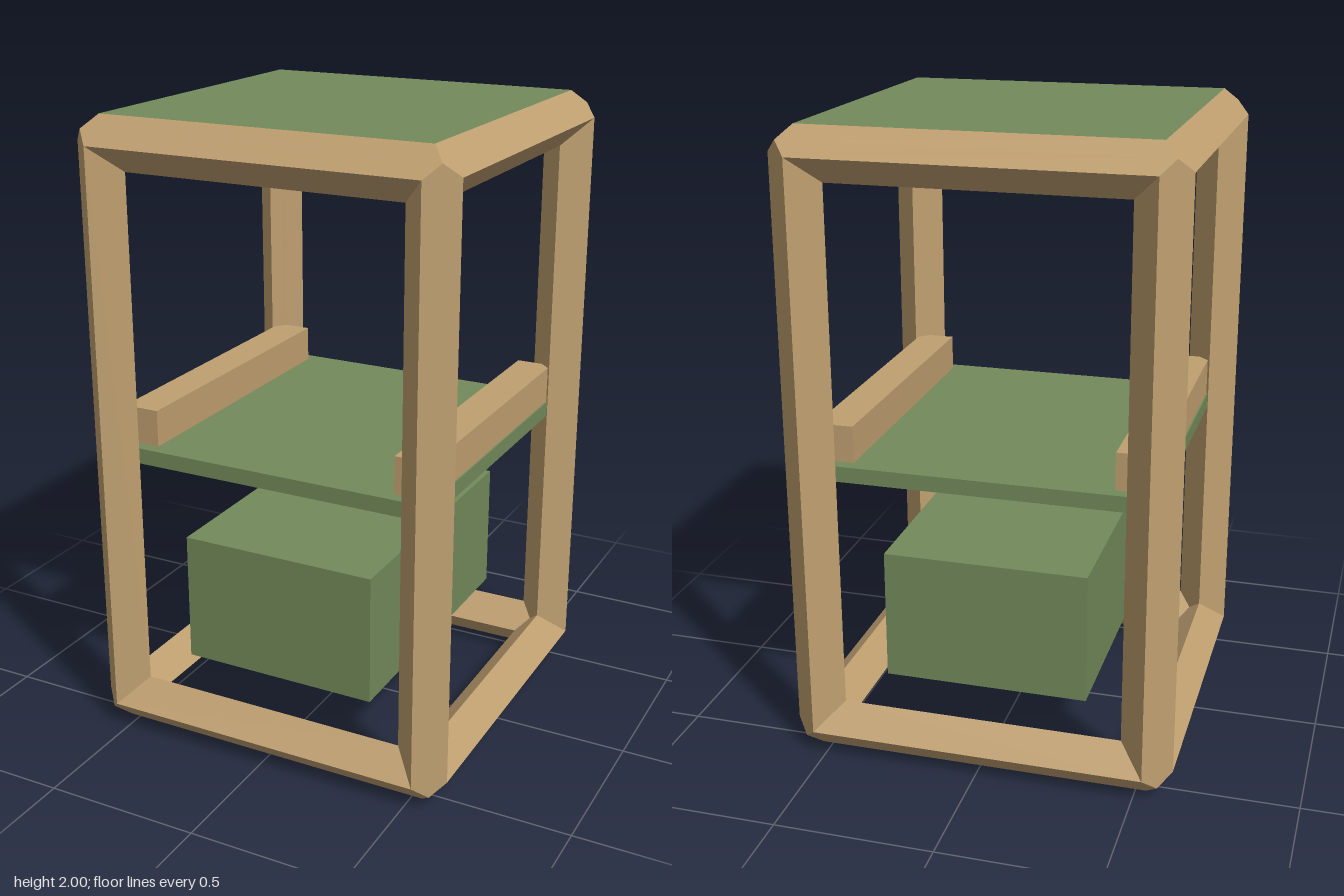
import * as THREE from 'three';

const wood = new THREE.MeshStandardMaterial({ color: 0xbf9f70, flatShading: true });
const green = new THREE.MeshStandardMaterial({ color: 0x738a5a, side: THREE.DoubleSide });

const R = 0.082;            // half diagonal of the square frame bars
const HALF = 0.532;         // bar centre lines in x and z
const HALF_Y = 1 - R;       // bar centre lines in y, from mid height

// Cross-section of a bar turned on its edge: [u, v, extra length at each end].
// u and v point away from the middle of the frame; the ends form three-way mitres.
const SECTION = [
  [1, 0, 0], [0.5, 0.5, 0.5], [0, 1, 0],
  [-1, 0, -1], [-0.5, -0.5, -0.5], [0, -1, -1],
];

// Bar along one axis (0 x, 1 y, 2 z), at the frame edge given by signs su and sv
function frameBar(axis, su, sv) {
  const half = [HALF, HALF_Y, HALF];
  const u = (axis + 1) % 3, v = (axis + 2) % 3;
  const positions = [], index = [];
  for (const end of [-1, 1]) {
    for (const [a, b, extra] of SECTION) {
      const p = [0, 0, 0];
      p[axis] = end * (half[axis] + extra * R);
      p[u] = su * (half[u] + a * R);
      p[v] = sv * (half[v] + b * R);
      p[1] += 1;
      positions.push(...p);
    }
  }
  const n = SECTION.length;
  for (let i = 0; i < n; i++) {
    const j = (i + 1) % n;
    const quad = [i, j, j + n, i, j + n, i + n];
    if (su * sv < 0) quad.reverse();
    index.push(...quad);
  }
  const geometry = new THREE.BufferGeometry();
  geometry.setAttribute('position', new THREE.Float32BufferAttribute(positions, 3));
  geometry.setIndex(index);
  const flat = geometry.toNonIndexed();
  flat.computeVertexNormals();
  return flat;
}

// Box given by its size, centre x and bottom height
function box(name, w, h, d, x, bottom, material) {
  const mesh = new THREE.Mesh(new THREE.BoxGeometry(w, h, d), material);
  mesh.name = name;
  mesh.position.set(x, bottom + h / 2, 0);
  return mesh;
}

export function createModel() {
  const model = new THREE.Group();
  model.name = 'shelfStand';

  // Twelve mitred bars
  const frame = new THREE.Group();
  frame.name = 'frame';
  ['crossBar', 'post', 'sideBar'].forEach((name, axis) => {
    for (const su of [-1, 1]) for (const sv of [-1, 1]) {
      const bar = new THREE.Mesh(frameBar(axis, su, sv), wood);
      bar.name = name;
      frame.add(bar);
    }
  });
  model.add(frame);

  // Thin top sheet resting on the upper ridges
  const top = new THREE.Mesh(new THREE.PlaneGeometry(2 * HALF, 2 * HALF), green);
  top.name = 'topPanel';
  top.rotation.x = -Math.PI / 2;
  top.position.y = 2;
  model.add(top);

  // Middle shelf with a rail on each side
  model.add(box('shelf', 1.06, 0.05, 1.06, 0, 0.92, green));
  for (const side of [-1, 1]) {
    model.add(box(side > 0 ? 'leftRail' : 'rightRail', 0.118, 0.118, 0.98, side * 0.466, 0.97, wood));
  }

  // Storage block below the shelf
  model.add(box('storageBox', 0.65, 0.42, 0.95, 0, 0.25, green));
  return model;
}
